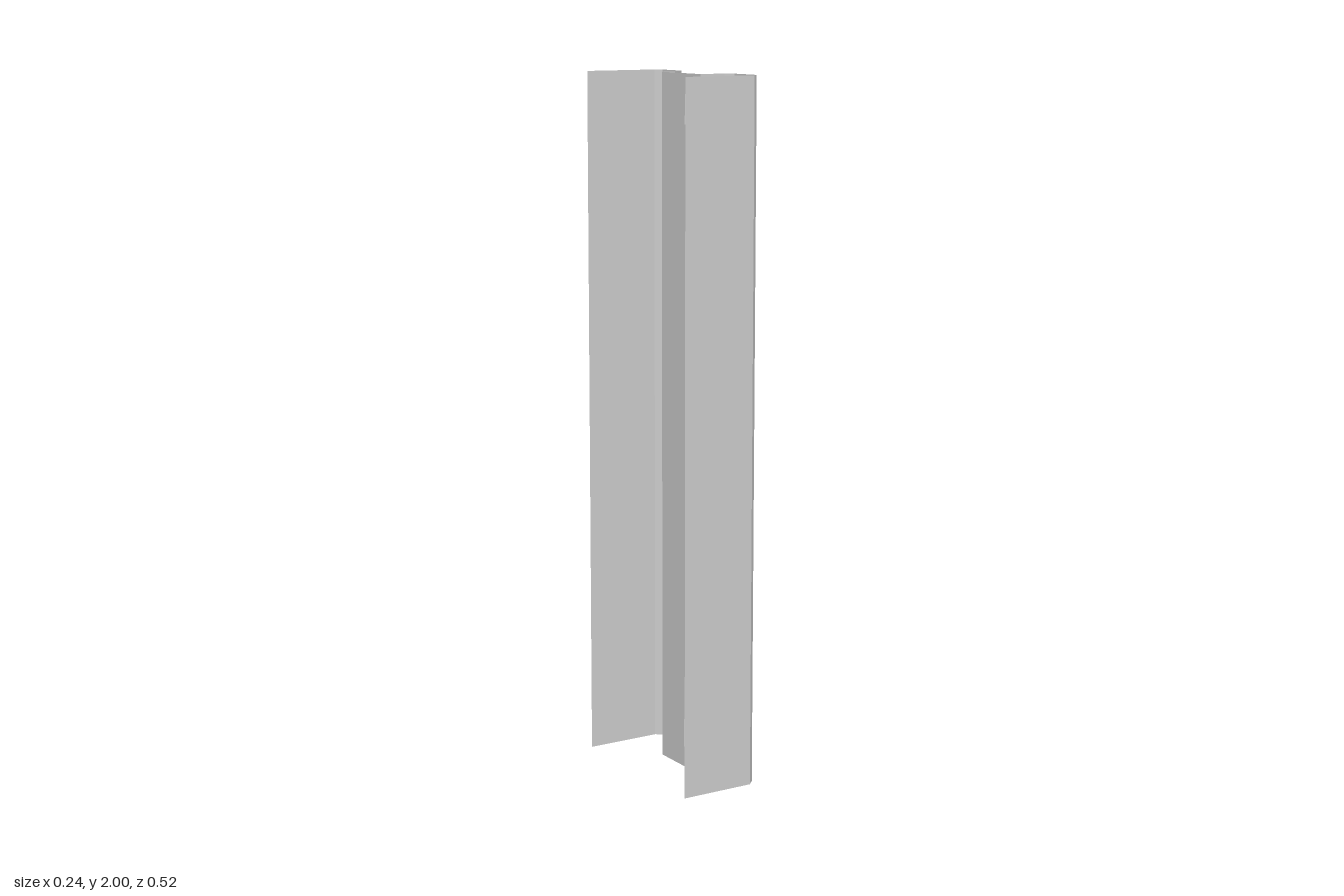
import * as THREE from 'three';

const H = 2;
const WALL_X = 0.023;
const material = new THREE.MeshStandardMaterial({
  color: 0xcccccc, flatShading: true, side: THREE.DoubleSide,
});

// Sheet folded along a list of [x, z] points, running from y0 to y1
function foldedSheet(name, points, y0, y1) {
  const pos = [];
  for (let i = 0; i < points.length - 1; i++) {
    const [ax, az] = points[i], [bx, bz] = points[i + 1];
    pos.push(ax, y0, az, bx, y0, bz, bx, y1, bz);
    pos.push(ax, y0, az, bx, y1, bz, ax, y1, az);
  }
  const geo = new THREE.BufferGeometry();
  geo.setAttribute('position', new THREE.Float32BufferAttribute(pos, 3));
  geo.computeVertexNormals();
  const mesh = new THREE.Mesh(geo, material);
  mesh.name = name;
  return mesh;
}

// Flat plate with an [x, z] outline at height y
function flatPlate(name, points, y) {
  const shape = new THREE.Shape(points.map(([x, z]) => new THREE.Vector2(x, -z)));
  const mesh = new THREE.Mesh(new THREE.ShapeGeometry(shape).rotateX(-Math.PI / 2), material);
  mesh.position.y = y;
  mesh.name = name;
  return mesh;
}

const rect = (Type, z0, z1, y0, y1) => new Type([
  new THREE.Vector2(-z0, y0), new THREE.Vector2(-z1, y0),
  new THREE.Vector2(-z1, y1), new THREE.Vector2(-z0, y1),
]);

export function createModel() {
  const group = new THREE.Group();
  group.name = 'doorJamb';

  // Front face, bevelled corners and the step back to the recess
  group.add(foldedSheet('frontFlange', [
    [-0.12, 0.26], [0.1, 0.26], [0.12, 0.24], [0.12, 0.132], [0.1, 0.111], [WALL_X, 0.109],
  ], 0, H));

  // Rear step, chamfer, side and back face
  group.add(foldedSheet('backFlange', [
    [WALL_X, -0.09], [0.067, -0.092], [0.118, -0.139], [0.12, -0.243], [0.102, -0.26], [-0.12, -0.26],
  ], 0, H));

  // Recess wall with an opening behind each pocket
  const pockets = [[0.06, 0.143], [1.86, 1.943]];
  const wall = rect(THREE.Shape, -0.09, 0.109, 0, H);
  for (const [y0, y1] of pockets) wall.holes.push(rect(THREE.Path, 0.03, 0.107, y0, y1));
  const wallMesh = new THREE.Mesh(new THREE.ShapeGeometry(wall).rotateY(Math.PI / 2), material);
  wallMesh.position.x = WALL_X;
  wallMesh.name = 'recessWall';
  group.add(wallMesh);

  // Hollow tapered pockets, closed at the front by the step
  const outline = [[WALL_X, 0.03], [0.05, 0.033], [0.083, 0.11], [WALL_X, 0.108]];
  pockets.forEach(([y0, y1], i) => {
    const pocket = new THREE.Group();
    pocket.name = i ? 'upperPocket' : 'lowerPocket';
    pocket.add(
      foldedSheet('pocketSides', outline.slice(0, 3), y0, y1),
      flatPlate('pocketFloor', outline, y0),
      flatPlate('pocketRoof', outline, y1),
    );
    group.add(pocket);
  });

  return group;
}
